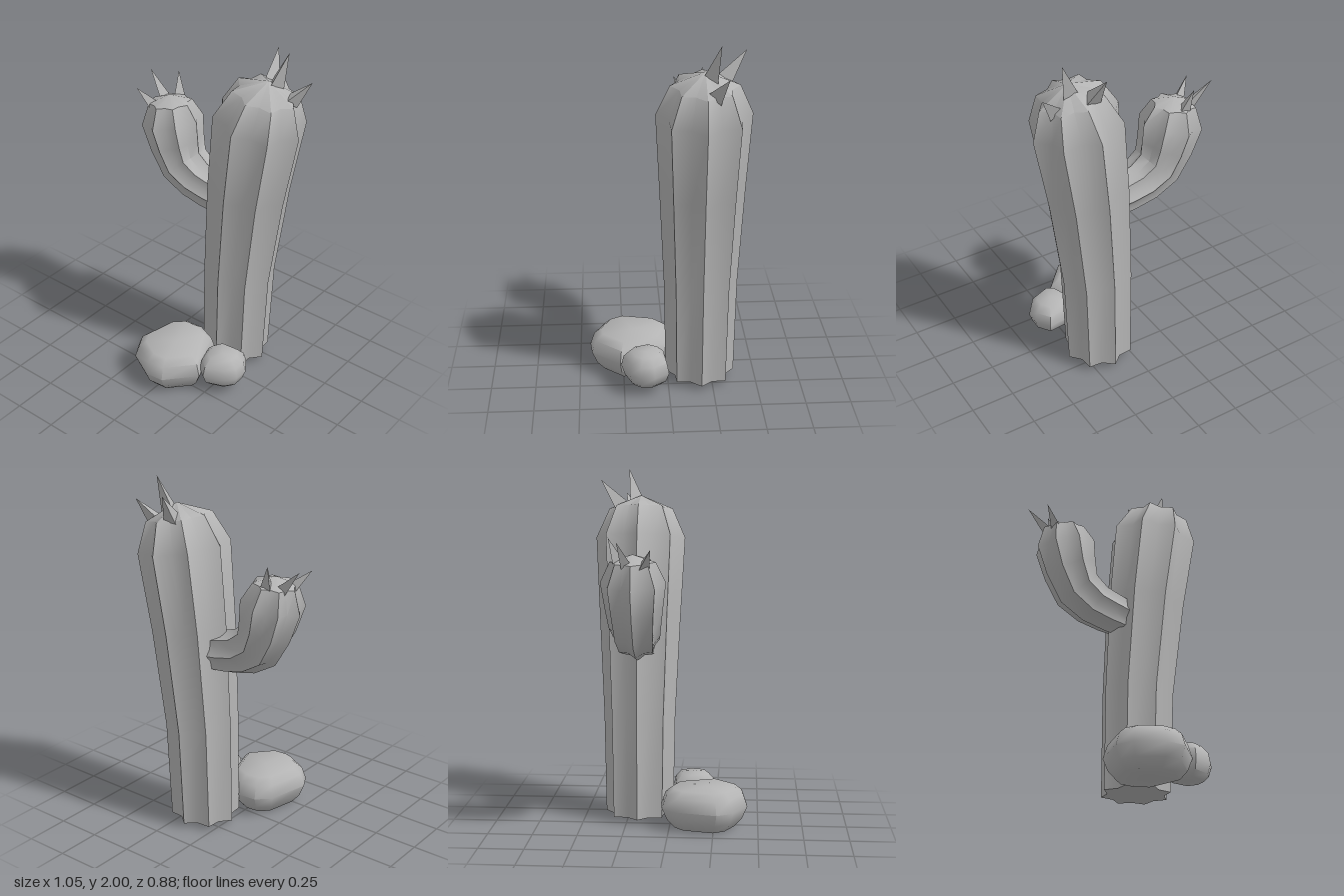
import * as THREE from 'three';
import { toCreasedNormals } from 'three/addons/utils/BufferGeometryUtils.js';

// Skin a stack of closed rings, closing each end with a fan to a point
function loft(rings, start, end, crease) {
  const n = rings[0].length, pos = [], idx = [];
  rings.flat().forEach((p) => pos.push(...p));
  pos.push(...start, ...end);
  const s = rings.length * n, e = s + 1, last = s - n;
  for (let j = 0; j < n; j++) {
    const k = (j + 1) % n;
    for (let i = 0; i < rings.length - 1; i++) {
      const a = i * n + j, b = i * n + k;
      idx.push(a, a + n, b, b, a + n, b + n);
    }
    idx.push(s, j, k, e, last + k, last + j);
  }
  const g = new THREE.BufferGeometry();
  g.setAttribute('position', new THREE.Float32BufferAttribute(pos, 3));
  g.setIndex(idx);
  return toCreasedNormals(g, crease);
}

// Eight-ribbed stem; each section is [x, y, radius, heading in degrees]
function ribbedStem(sections, z, tip, valley) {
  const rings = sections.map(([x, y, r, deg]) => {
    const a = THREE.MathUtils.degToRad(deg);
    return Array.from({ length: 16 }, (_, j) => {
      const t = (j / 16) * Math.PI * 2, q = j % 2 ? r * valley : r;
      const u = Math.cos(t) * q;
      return [x + Math.sin(a) * u, y - Math.cos(a) * u, z + Math.sin(t) * q];
    });
  });
  const [x0, y0] = sections[0];
  return loft(rings, [x0, y0, z], [...tip, z], 0.75);
}

// Rounded stone from a ground outline of [x, z] points and [y, scale] levels
function stone(outline, cx, cz, levels) {
  const rings = levels.map(([y, s]) => outline.map(([x, z]) => [cx + (x - cx) * s, y, cz + (z - cz) * s]));
  return loft(rings, [cx, levels[0][0], cz], [cx, levels[levels.length - 1][0], cz], 0.95);
}

// Three-sided thorn running from base to tip
function thorn(base, tip, radius) {
  const a = new THREE.Vector3(...base), d = new THREE.Vector3(...tip).sub(a);
  const g = new THREE.ConeGeometry(radius, d.length(), 3, 1).toNonIndexed();
  g.computeVertexNormals();
  g.translate(0, d.length() / 2, 0);
  g.applyQuaternion(new THREE.Quaternion().setFromUnitVectors(new THREE.Vector3(0, 1, 0), d.normalize()));
  return g.translate(a.x, a.y, a.z);
}

export function createModel() {
  const group = new THREE.Group();
  const grey = new THREE.MeshStandardMaterial({ color: 0xb4b4b4 });
  grey.name = 'plainGrey';
  const add = (name, geometry) => {
    const mesh = new THREE.Mesh(geometry, grey);
    mesh.name = name;
    group.add(mesh);
  };

  // Leaning main stem with a domed top
  add('trunk', ribbedStem([
    [0.148, 0.03, 0.195, 90],
    [0.162, 0.6, 0.205, 87],
    [0.213, 1.17, 0.232, 82],
    [0.272, 1.612, 0.255, 80],
    [0.305, 1.775, 0.182, 79],
  ], -0.185, [0.32, 1.85], 0.8));

  // Side arm curving upward
  add('arm', ribbedStem([
    [0.04, 1.06, 0.115, 175],
    [-0.03, 1.073, 0.122, 168],
    [-0.135, 1.1, 0.13, 150],
    [-0.235, 1.165, 0.142, 134],
    [-0.285, 1.28, 0.157, 112],
    [-0.32, 1.415, 0.175, 101],
    [-0.335, 1.525, 0.122, 96],
  ], -0.175, [-0.34, 1.565], 0.82));

  // Thorns on the trunk top and arm top
  [
    [[0.25, 1.79, -0.3], [0.225, 1.94, -0.405], 0.05],
    [[0.335, 1.81, -0.22], [0.39, 2.0, -0.26], 0.05],
    [[0.425, 1.745, -0.235], [0.52, 1.86, -0.29], 0.05],
    [[-0.405, 1.51, -0.21], [-0.53, 1.64, -0.24], 0.035],
    [[-0.345, 1.53, -0.26], [-0.375, 1.655, -0.3], 0.035],
    [[-0.405, 1.5, -0.115], [-0.49, 1.6, -0.07], 0.035],
  ].forEach(([base, tip, r], i) => add(`thorn${i + 1}`, thorn(base, tip, r)));

  // Two stones at the foot
  add('largeStone', stone([
    [0.225, 0.27], [0.08, 0.43], [-0.03, 0.44], [-0.18, 0.36], [-0.23, 0.27],
    [-0.175, 0.03], [-0.1, -0.04], [0.01, -0.05], [0.13, 0.0],
  ], 0, 0.2, [[0, 0.7], [0.05, 0.88], [0.12, 1], [0.19, 0.9], [0.225, 0.72]]));
  add('smallStone', stone([
    [0.415, 0.16], [0.37, 0.22], [0.25, 0.265], [0.19, 0.22],
    [0.15, 0.1], [0.2, 0.015], [0.36, 0.0], [0.415, 0.08],
  ], 0.285, 0.13, [[0.045, 0.62], [0.075, 0.86], [0.13, 1], [0.19, 0.9], [0.23, 0.62]]));

  return group;
}
